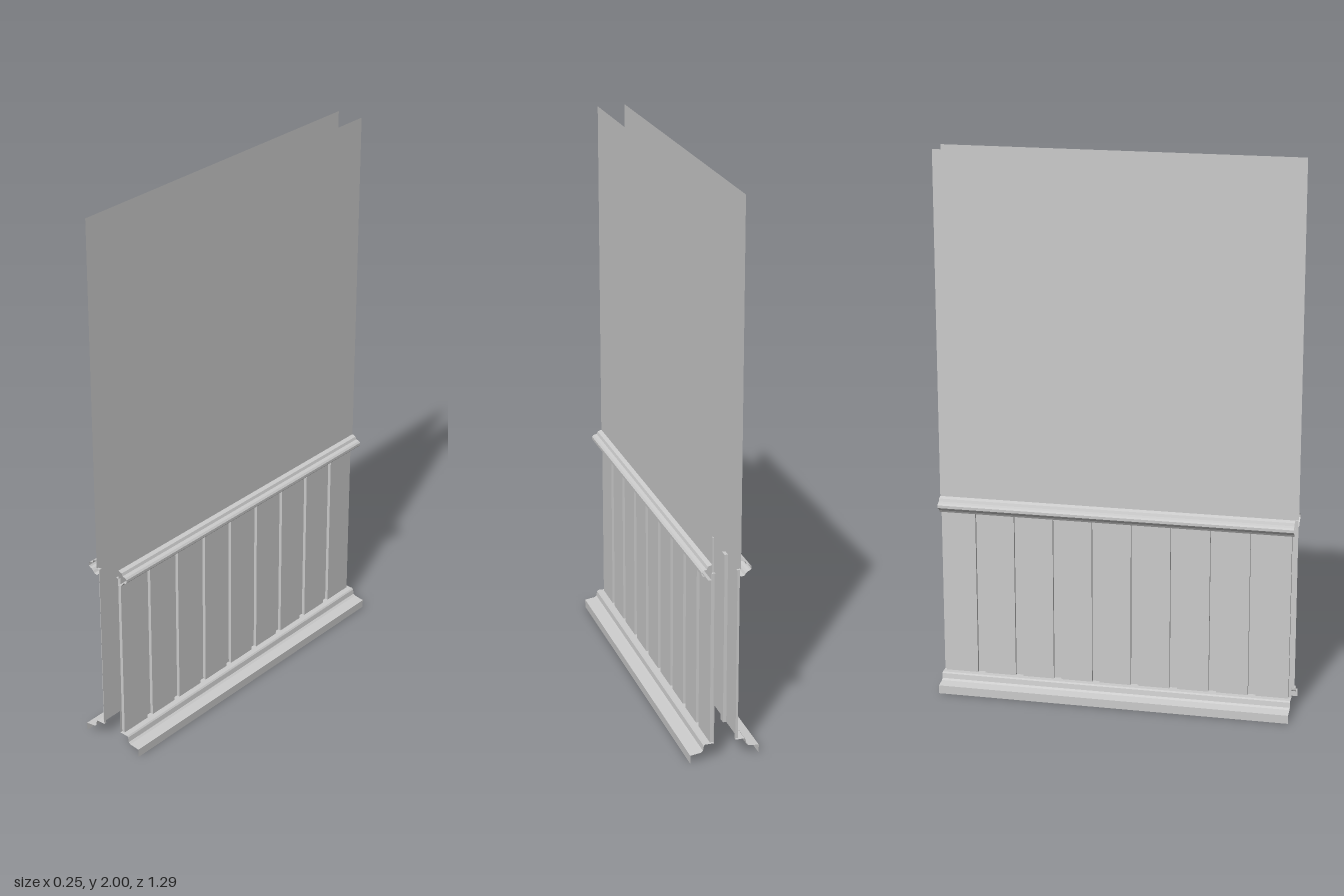
import * as THREE from 'three';

const HALF = 0.645;                 // half length along z
const WALL = 0.051, GROOVE = 0.039; // x of wall face and of groove bottoms
const PANEL_LOW = 0.065, PANEL_TOP = 0.707;

const material = new THREE.MeshStandardMaterial({
  color: 0xcccccc, side: THREE.DoubleSide, flatShading: true,
});

// Open sheet swept between two copies of a path
function sweep(name, start, end) {
  const pos = [];
  for (let i = 0; i < start.length - 1; i++) {
    const a = start[i], b = end[i], c = end[i + 1], d = start[i + 1];
    pos.push(...a, ...b, ...c, ...a, ...c, ...d);
  }
  const geometry = new THREE.BufferGeometry();
  geometry.setAttribute('position', new THREE.Float32BufferAttribute(pos, 3));
  geometry.computeVertexNormals();
  const mesh = new THREE.Mesh(geometry, material);
  mesh.name = name;
  return mesh;
}

// Moulding profile [x, y], listed upwards, swept along z
const moulding = (name, profile) => sweep(name,
  profile.map(([x, y]) => [x, y, HALF]),
  profile.map(([x, y]) => [x, y, -HALF]));

// Wainscot boards separated by recessed grooves
function wainscot() {
  const group = new THREE.Group();
  group.name = 'wainscot';
  const pitch = 2 * HALF / 9;
  const path = [];
  for (let i = 0; i <= 9; i++) {
    const z = HALF - i * pitch;
    const half = i === 0 || i === 9 ? 0.01 : 0.014;
    const z0 = Math.min(z + half, HALF), z1 = Math.max(z - half, -HALF);
    if (i > 0) path.push([WALL, z0]);
    path.push([GROOVE, z0], [GROOVE, z1]);
    if (i < 9) path.push([WALL, z1]);
    // Small closures at the groove ends
    for (const y of [PANEL_LOW, PANEL_TOP]) {
      group.add(sweep('grooveCap',
        [[GROOVE, y, z0], [GROOVE, y, z1]],
        [[WALL, y, z0], [WALL, y, z1]]));
    }
  }
  // Boards face outwards
  const at = (y) => path.map(([x, z]) => [x, y, z]);
  group.add(sweep('boards', at(PANEL_TOP), at(PANEL_LOW)));
  return group;
}

function wallSide(name) {
  const side = new THREE.Group();
  side.name = name;
  side.add(moulding('upperWall', [[WALL, PANEL_TOP], [WALL, 2]]));
  side.add(wainscot());
  side.add(moulding('chairRail', [
    [WALL, 0.682], [0.064, 0.684], [0.069, 0.692], [0.075, 0.698], [0.084, 0.701],
    [0.088, 0.706], [0.088, 0.716], [0.083, 0.722], [0.07, 0.725], [0.066, 0.735], [WALL, 0.74],
  ]));
  side.add(moulding('baseboard', [
    [0.125, 0], [0.125, 0.031], [0.086, 0.036], [0.079, 0.042], [0.076, 0.06],
    [0.072, PANEL_LOW], [WALL, PANEL_LOW],
  ]));
  return side;
}

export function createModel() {
  const model = new THREE.Group();
  model.name = 'wainscotedWall';
  const left = wallSide('leftSide');
  const right = wallSide('rightSide');
  right.rotation.y = Math.PI;
  model.add(left, right);
  return model;
}
